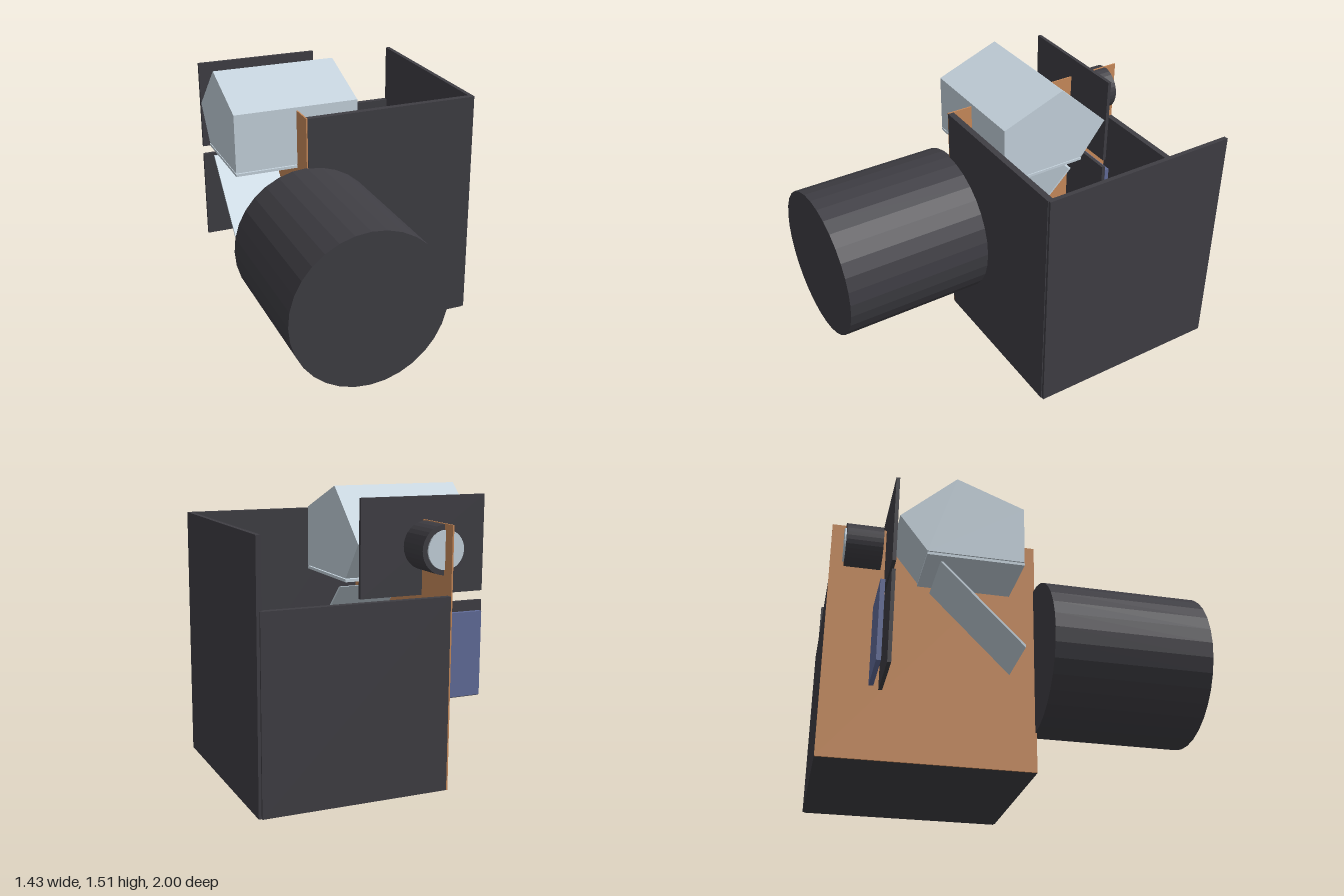
import * as THREE from 'three';

const mat = (name, color) => {
  const m = new THREE.MeshStandardMaterial({ color });
  m.name = name;
  return m;
};

export function createModel() {
  const group = new THREE.Group();
  const black = mat('charcoal', 0x3f3e44);
  const copper = mat('copper', 0xc98b5b);
  const glass = mat('pale glass', 0xc6d4de);
  const blue = mat('sensor blue', 0x626d9a);
  black.flatShading = true;
  glass.flatShading = true;

  const add = (name, geometry, material) => {
    const mesh = new THREE.Mesh(geometry, material);
    mesh.name = name;
    group.add(mesh);
    return mesh;
  };
  // Box given by its extents on each axis
  const slab = (name, material, [x0, x1], [y0, y1], [z0, z1]) =>
    add(name, new THREE.BoxGeometry(x1 - x0, y1 - y0, z1 - z0), material)
      .position.set((x0 + x1) / 2, (y0 + y1) / 2, (z0 + z1) / 2);
  // Cylinder lying along z
  const barrel = (name, material, r, y, z0, z1) =>
    add(name, new THREE.CylinderGeometry(r, r, z1 - z0, 32).rotateX(Math.PI / 2), material)
      .position.set(-0.295, y, (z0 + z1) / 2);
  // (z, y) outline extruded across the optical width
  const optic = [-0.65, 0.06];
  const profile = (name, material, points) => {
    const shape = new THREE.Shape(points.map(([z, y]) => new THREE.Vector2(-z, y)));
    const geo = new THREE.ExtrudeGeometry(shape, { depth: optic[1] - optic[0], bevelEnabled: false });
    add(name, geo.rotateY(Math.PI / 2), material).position.x = optic[0];
  };

  // Open-topped housing with a low back
  slab('frontWall', black, [-0.29, 0.7], [0, 1.35], [0.115, 0.15]);
  slab('backWall', black, [-0.29, 0.7], [0, 1], [-1, -0.965]);
  slab('sideWall', black, [0.69, 0.715], [0, 1.35], [-0.99, 0.145]);
  slab('floor', black, [-0.29, 0.7], [0, 0.03], [-0.99, 0.145]);
  slab('sectionPanel', copper, [-0.298, -0.29], [0, 1.352], [-1, 0.148]);

  // Lens
  barrel('lensBarrel', black, 0.425, 0.645, 0.14, 1);

  // Prism, focusing screen and angled mirror
  profile('prism', glass, [[0, 1.04], [0, 1.37], [-0.37, 1.51], [-0.67, 1.235], [-0.52, 1.04]]);
  slab('focusingScreen', glass, optic, [1.02, 1.035], [-0.52, 0]);
  profile('mirror', glass, [[0, 0.54], [0, 0.555], [-0.435, 0.985], [-0.45, 0.985]]);

  // Shutter and sensor
  slab('shutterPlate', black, optic, [0.385, 0.91], [-0.7, -0.68]);
  slab('sensor', blue, [-0.62, 0.03], [0.405, 0.86], [-0.752, -0.727]);

  // Eyepiece
  slab('eyepiecePlate', black, optic, [0.96, 1.47], [-0.7, -0.68]);
  barrel('eyepieceTube', black, 0.127, 1.222, -0.925, -0.725);
  barrel('eyepieceLens', glass, 0.1, 1.222, -0.934, -0.92);

  return group;
}
